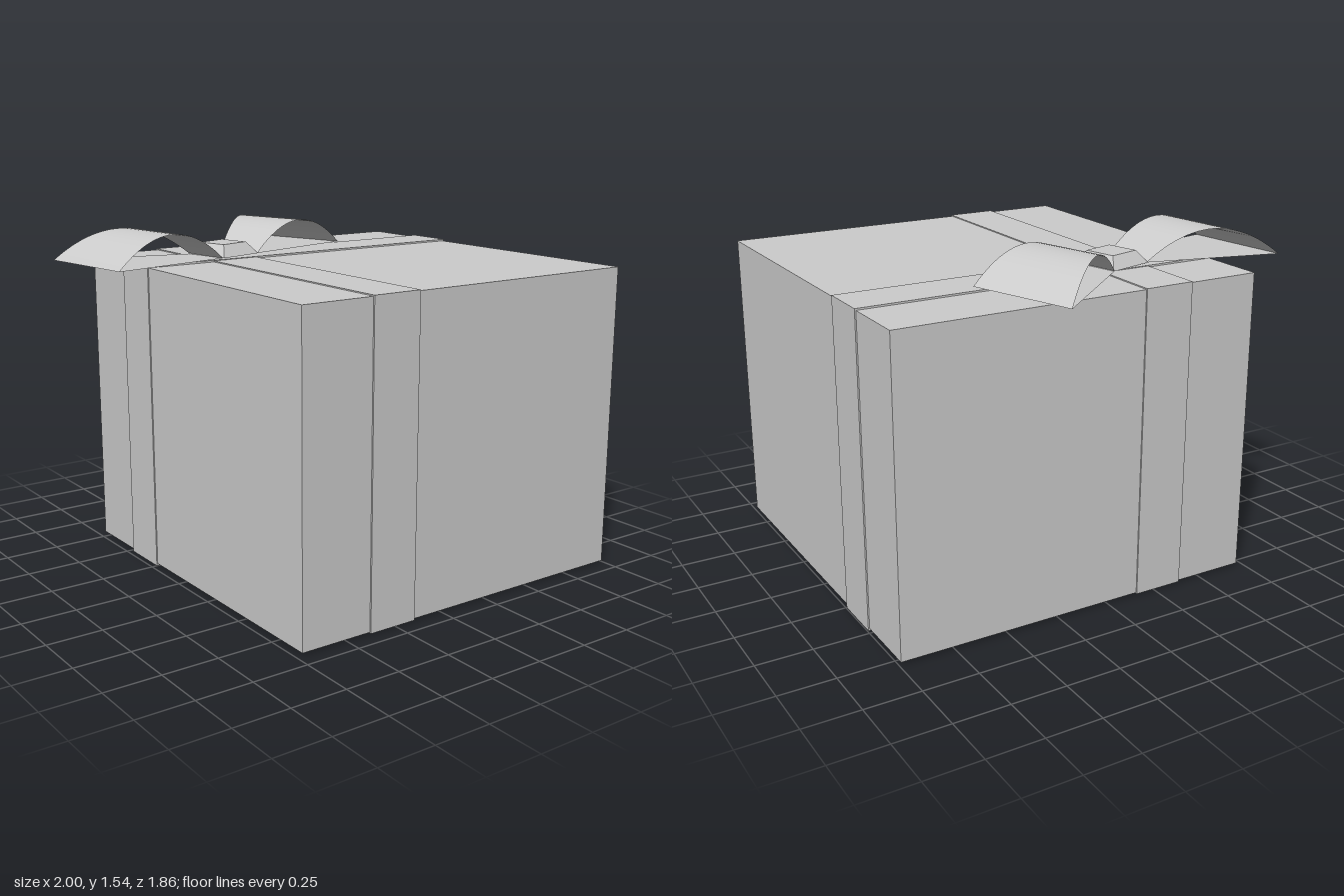
import * as THREE from 'three';

const material = new THREE.MeshStandardMaterial({ color: 0xcccccc });
const sheetMaterial = new THREE.MeshStandardMaterial({ color: 0xcccccc, side: THREE.DoubleSide });

// Box given by its lower and upper corners
function slab(name, min, max) {
  const size = max.map((v, i) => v - min[i]);
  const mesh = new THREE.Mesh(new THREE.BoxGeometry(...size), material);
  mesh.position.set(...max.map((v, i) => (v + min[i]) / 2));
  mesh.name = name;
  return mesh;
}

// Sheet spanning four [x, z] corners (back left, back right, front left, front right), arched along x
function archedSheet(name, [bl, br, fl, fr], y, height) {
  const geometry = new THREE.PlaneGeometry(1, 1, height ? 24 : 1, 1);
  const pos = geometry.attributes.position;
  for (let i = 0; i < pos.count; i++) {
    const u = pos.getX(i) + 0.5;
    const v = 0.5 - pos.getY(i);
    const [x, z] = [0, 1].map((k) => THREE.MathUtils.lerp(
      THREE.MathUtils.lerp(bl[k], br[k], u),
      THREE.MathUtils.lerp(fl[k], fr[k], u), v));
    pos.setXYZ(i, x, y + height * 4 * u * (1 - u), z);
  }
  geometry.computeVertexNormals();
  const mesh = new THREE.Mesh(geometry, sheetMaterial);
  mesh.name = name;
  return mesh;
}

// Bow loop: arch over a flat strip, open at both sides
function bowLoop(name, corners) {
  const loop = new THREE.Group();
  loop.name = name;
  loop.add(archedSheet('loopArch', corners, 1.408, 0.132));
  loop.add(archedSheet('loopBase', corners, 1.408, 0));
  return loop;
}

export function createModel() {
  const gift = new THREE.Group();
  gift.name = 'giftBox';

  // Box and the two crossing ribbons
  gift.add(slab('box', [-0.72, 0.01, -0.787], [0.99, 1.392, 0.923]));
  gift.add(slab('ribbonFrontToBack', [-0.385, 0.006, -0.793], [-0.155, 1.397, 0.93]));
  gift.add(slab('ribbonSideToSide', [-0.725, 0, -0.48], [0.996, 1.4, -0.25]));

  // Bow with two flared loops
  const bow = new THREE.Group();
  bow.name = 'bow';
  bow.add(bowLoop('leftLoop', [[-0.18, -0.52], [0.295, -0.93], [-0.12, -0.295], [0.46, -0.445]]));
  bow.add(bowLoop('rightLoop', [[-1.0, -0.62], [-0.39, -0.46], [-0.93, -0.115], [-0.345, -0.235]]));

  // Knot: tapered square block
  const knotGeometry = new THREE.CylinderGeometry(0.107, 0.163, 0.055, 4).toNonIndexed();
  knotGeometry.computeVertexNormals();
  const knot = new THREE.Mesh(knotGeometry, material);
  knot.name = 'knot';
  knot.position.set(-0.257, 1.4345, -0.378);
  knot.rotation.y = Math.PI / 4 + 0.265;
  bow.add(knot);
  gift.add(bow);

  return gift;
}
